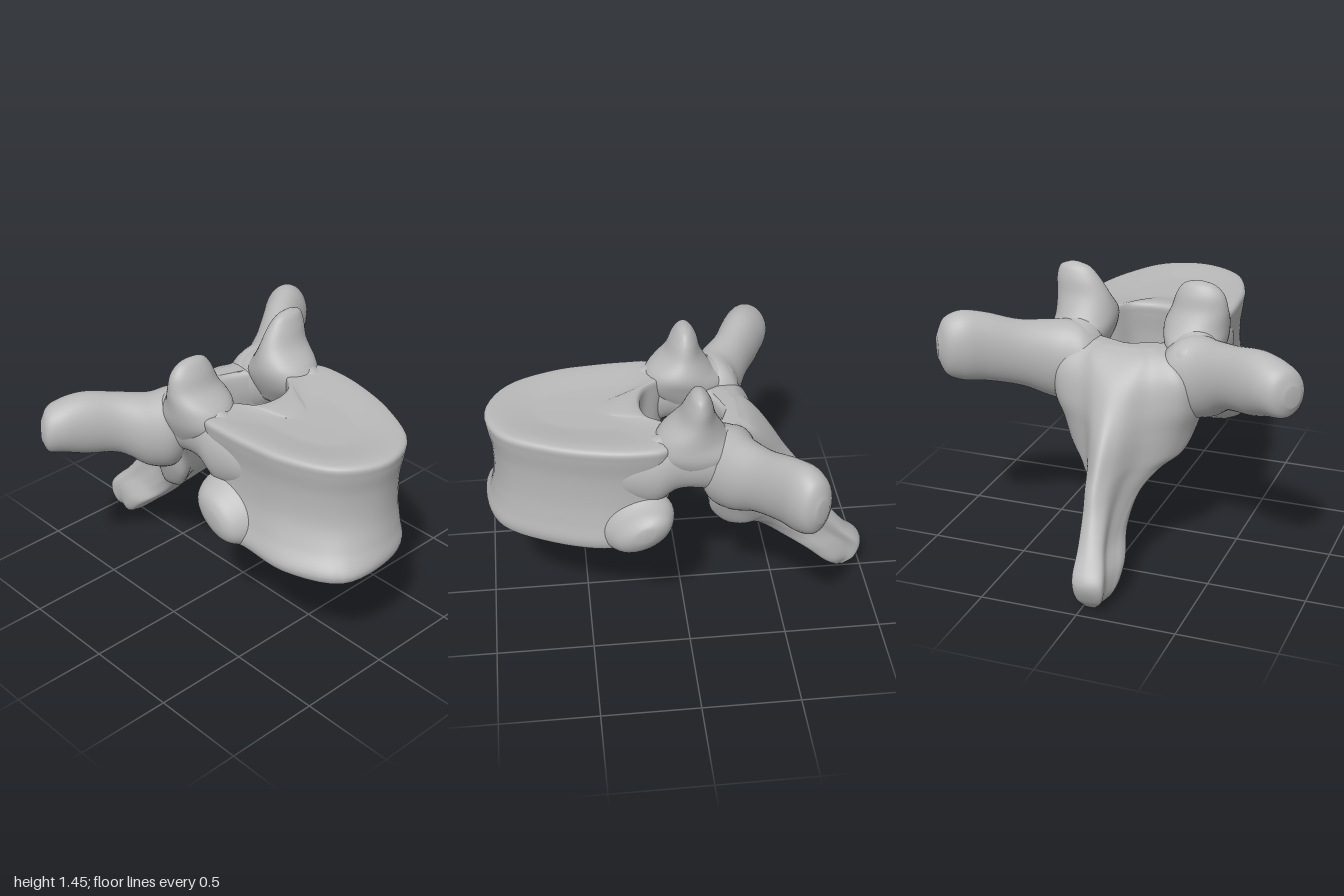
import * as THREE from 'three';

const V = (x, y, z) => new THREE.Vector3(x, y, z);
const SIDES = 40;

// Skin a closed solid over key rings, easing smoothly from ring to ring
function loft(keyRings, steps = 6) {
  const n = keyRings[0].length, rows = (keyRings.length - 1) * steps + 1;
  const rails = keyRings[0].map((_, j) => new THREE.CatmullRomCurve3(keyRings.map(r => r[j])));
  const pts = [], idx = [];
  for (let i = 0; i < rows; i++) {
    for (const rail of rails) pts.push(rail.getPoint(i / (rows - 1)));
  }
  const at = (i, j) => i * n + (j % n);
  for (let i = 0; i < rows - 1; i++) {
    for (let j = 0; j < n; j++) {
      idx.push(at(i, j), at(i, j + 1), at(i + 1, j + 1), at(i, j), at(i + 1, j + 1), at(i + 1, j));
    }
  }
  for (const row of [0, rows - 1]) {
    const c = V(0, 0, 0);
    for (let j = 0; j < n; j++) c.addScaledVector(pts[at(row, j)], 1 / n);
    pts.push(c);
    for (let j = 0; j < n; j++) {
      const a = at(row, j), b = at(row, j + 1);
      idx.push(pts.length - 1, row ? a : b, row ? b : a);
    }
  }
  // A negative enclosed volume means the faces point inward: turn them round
  let volume = 0;
  for (let k = 0; k < idx.length; k += 3) {
    volume += pts[idx[k]].dot(pts[idx[k + 1]].clone().cross(pts[idx[k + 2]]));
  }
  if (volume < 0) idx.reverse();
  const g = new THREE.BufferGeometry().setFromPoints(pts);
  g.setIndex(idx);
  g.computeVertexNormals();
  return g;
}

// Elliptical limb; keys are [x, y, z, radius along a, radius along b]
function limb(keys, a, b) {
  return loft(keys.map(([x, y, z, ra, rb]) => Array.from({ length: SIDES }, (_, j) => {
    const t = j / SIDES * Math.PI * 2;
    return V(x, y, z).addScaledVector(a, ra * Math.cos(t)).addScaledVector(b, rb * Math.sin(t));
  })));
}

// Smooth closed outline through [x, z] points at height y
function outline(points, y, count = 90) {
  const curve = new THREE.CatmullRomCurve3(points.map(([x, z]) => V(x, y, z)), true);
  return Array.from({ length: count }, (_, j) => curve.getPoint(j / count));
}

// Body: a plain oval below, growing two horns round the canal above
function bodyGeometry() {
  const top = [[0, .98], [.22, .91], [.37, .66], [.44, .42], [.46, .24], [.44, .1], [.33, .03], [.23, .07],
    [.15, .165], [.03, .2], [-.1, .17], [-.18, .07], [-.27, .03], [-.37, .1], [-.38, .24], [-.37, .42],
    [-.34, .62], [-.22, .87]];
  const bottom = [[0, 1], [.2, .93], [.36, .68], [.44, .42], [.43, .27], [.4, .22], [.32, .19], [.24, .185],
    [.15, .185], [.03, .19], [-.1, .19], [-.2, .185], [-.29, .19], [-.38, .21], [-.41, .27], [-.4, .42],
    [-.4, .7], [-.26, .97]];
  // [height, blend from bottom to top outline, scale about the centre]
  const levels = [[.605, 0, .4], [.577, 0, .86], [.585, 0, .96], [.63, .05, 1], [.72, .5, .965],
    [.84, .9, .93], [1.0, 1, .935], [1.12, 1, .98], [1.165, 1, .985], [1.182, 1, .93], [1.16, 1, .4]];
  return loft(levels.map(([y, m, s]) => outline(top.map(([x, z], i) => {
    const px = bottom[i][0] * (1 - m) + x * m, pz = bottom[i][1] * (1 - m) + z * m;
    return [.02 + (px - .02) * s, .52 + (pz - .52) * s];
  }), y)));
}

function laminaGeometry() {
  // [y, centre x, half width, front middle z, front side z, back side z, ridge z, ridge half width]
  const levels = [
    [1.12, .03, .18, -.23, -.18, -.25, -.28, .09],
    [1.09, .03, .3, -.21, -.08, -.31, -.35, .12],
    [1.0, .02, .38, -.205, -.04, -.36, -.45, .09],
    [.85, .015, .385, -.225, -.1, -.37, -.55, .07],
    [.72, .01, .35, -.26, -.12, -.35, -.64, .06],
    [.6, .01, .3, -.3, -.2, -.36, -.71, .055],
    [.53, .01, .21, -.34, -.3, -.43, -.75, .055],
    [.43, 0, .125, -.42, -.42, -.54, -.8, .055],
    [.29, -.02, .085, -.54, -.56, -.7, -.9, .06],
    [.17, -.045, .1, -.67, -.7, -.83, -1, .075],
    [.07, -.045, .085, -.78, -.8, -.88, -.97, .065],
    [.003, -.035, .03, -.86, -.87, -.885, -.91, .025]];
  return loft(levels.map(([y, cx, w, fm, fs, bs, ridge, rw]) => {
    const half = [[w * .45, fm * .6 + fs * .4], [w * .9, fs], [w, (fs + bs) / 2], [w * .86, bs],
      [w * .35 + rw * .5, bs * .6 + ridge * .4], [rw, bs * .15 + ridge * .85]];
    return outline([[0, fm], ...half, [0, ridge],
      ...half.slice().reverse().map(([x, z]) => [-x, z])].map(([x, z]) => [x + cx, z]), y);
  }));
}

export function createModel() {
  const group = new THREE.Group();
  group.name = 'vertebra';
  const bone = new THREE.MeshStandardMaterial({ color: 0xb8b8b8 });
  bone.name = 'grey bone';
  const add = (name, geometry) => {
    const mesh = new THREE.Mesh(geometry, bone);
    mesh.name = name;
    group.add(mesh);
  };
  const X = V(1, 0, 0), Y = V(0, 1, 0), Z = V(0, 0, 1);

  add('vertebralBody', bodyGeometry());
  add('laminaAndSpinousProcess', laminaGeometry());

  // Pedicles bridging the body and the arch
  for (const [name, s, cx] of [['left', 1, .345], ['right', -1, .28]]) {
    add(name + 'Pedicle', limb([
      [s * (cx - .03), 1.0, .5, .03, .06], [s * (cx - .005), 1.0, .32, .09, .14],
      [s * cx, 1.0, .17, .11, .185], [s * cx, 1.06, .05, .11, .17], [s * cx, 1.065, -.08, .13, .175],
      [s * .31, 1.02, -.19, .15, .18], [s * .3, 1.02, -.3, .1, .13], [s * .29, 1.02, -.34, .03, .04]], X, Y));
  }

  // Upright articular processes, flared at the foot
  add('leftArticularProcess', limb([
    [.33, .97, -.08, .1, .12], [.325, 1.1, -.05, .155, .22], [.315, 1.19, -.025, .16, .17],
    [.325, 1.29, -.047, .14, .093], [.35, 1.38, -.055, .112, .062], [.365, 1.432, -.055, .078, .037],
    [.37, 1.453, -.055, .025, .012]], X, Z));
  add('rightArticularProcess', limb([
    [-.28, .97, -.08, .1, .12], [-.28, 1.1, -.05, .15, .22], [-.275, 1.19, -.025, .165, .17],
    [-.295, 1.28, -.045, .145, .095], [-.3, 1.36, -.053, .12, .065], [-.295, 1.405, -.055, .08, .037],
    [-.29, 1.422, -.055, .025, .012]], X, Z));

  // Transverse processes sweeping out and back, with broad roots
  add('leftTransverseProcess', limb([
    [.2, .99, -.17, .1, .13], [.3, .98, -.2, .17, .21], [.42, .995, -.25, .145, .205],
    [.55, 1.04, -.34, .115, .175], [.7, 1.09, -.44, .11, .18], [.8, 1.105, -.505, .115, .18],
    [.865, 1.105, -.545, .095, .145], [.9, 1.105, -.565, .04, .06]], V(.6, 0, .8), Y));
  add('rightTransverseProcess', limb([
    [-.2, .99, -.17, .1, .13], [-.3, .98, -.2, .17, .21], [-.42, .99, -.24, .145, .2],
    [-.55, 1.045, -.325, .115, .165], [-.7, 1.07, -.405, .12, .165], [-.8, 1.075, -.455, .12, .14],
    [-.865, 1.065, -.485, .1, .115], [-.895, 1.06, -.5, .045, .05]], V(-.6, 0, .8), Y));

  // Rib facets: slanting swellings on the lower back corners of the body
  const along = V(0, .55, -.835), across = V(0, .835, .55);
  add('leftRibFacet', limb([
    [.27, .73, .29, .15, .12], [.38, .725, .26, .2, .15], [.46, .72, .24, .175, .12],
    [.52, .735, .23, .135, .085], [.553, .75, .225, .075, .045], [.56, .755, .225, .02, .015]], along, across));
  add('rightRibFacet', limb([
    [-.22, .73, .29, .15, .12], [-.32, .725, .27, .2, .15], [-.4, .715, .265, .175, .12],
    [-.445, .715, .27, .135, .085], [-.466, .715, .28, .075, .045], [-.471, .715, .285, .02, .015]], along, across));
  return group;
}
